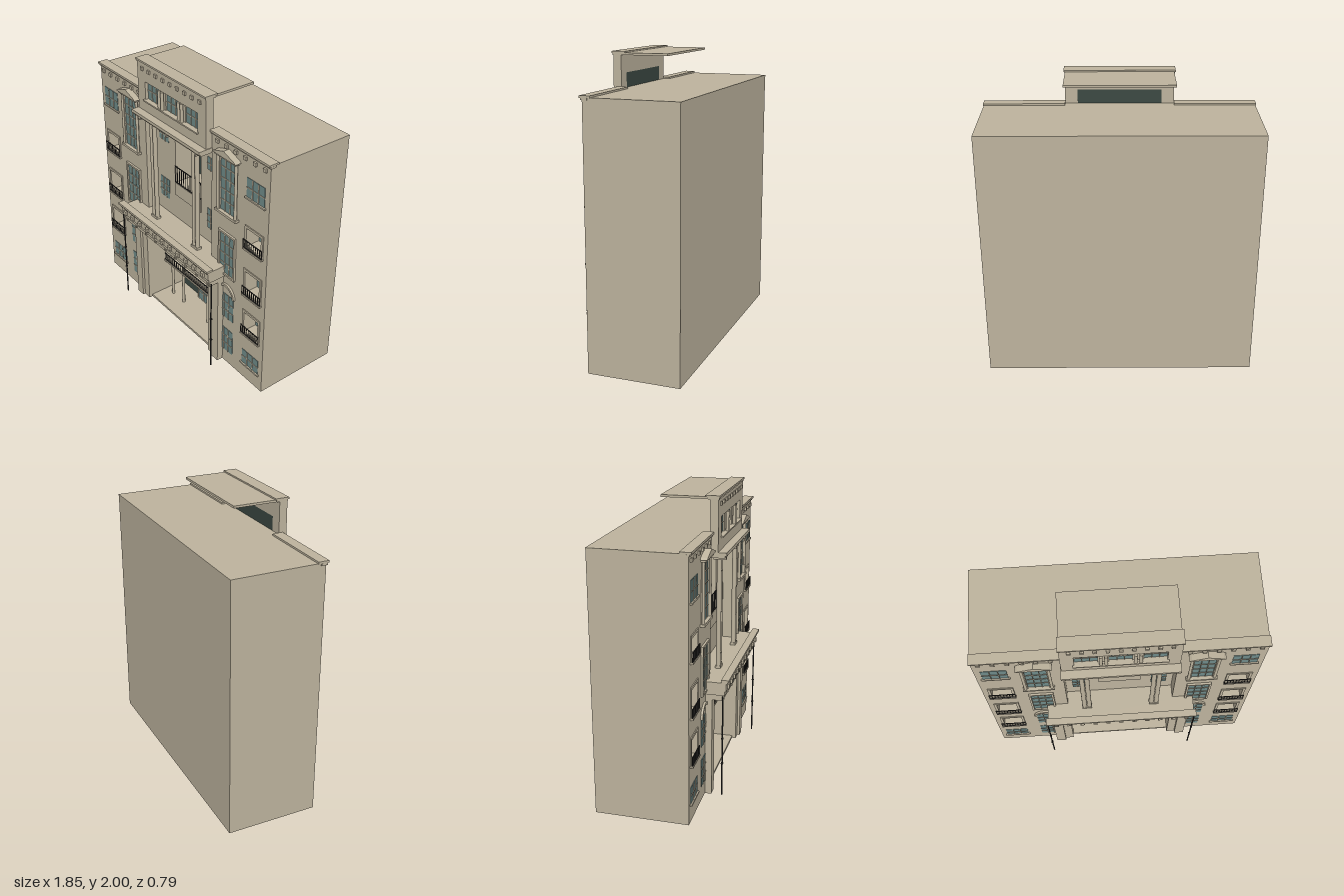
import * as THREE from 'three';

const flat = (name, color) => Object.assign(new THREE.MeshStandardMaterial({ color }), { name });

export function createModel() {
  const model = new THREE.Group();
  model.name = 'building';
  const stone = flat('stone', 0xbdb39d);
  const glass = flat('glass', 0x6f8a88);
  const dark = flat('darkGlass', 0x3b4842);
  const iron = flat('iron', 0x2c2b29);

  const add = (name, geo, mat) => {
    const m = new THREE.Mesh(geo, mat);
    m.name = name;
    model.add(m);
    return m;
  };
  // Box given by centre x, width, and y and z ranges
  const box = (name, mat, cx, w, y0, y1, z0, z1) => {
    const m = add(name, new THREE.BoxGeometry(w, y1 - y0, z1 - z0), mat);
    m.position.set(cx, (y0 + y1) / 2, (z0 + z1) / 2);
    return m;
  };
  const column = (name, x, r, y0, y1, z, mat = stone) => {
    const m = add(name, new THREE.CylinderGeometry(r, r, y1 - y0, 16), mat);
    m.position.set(x, (y0 + y1) / 2, z);
  };
  // Flat wall with rectangular holes [centre x, width, y0, y1]
  const wall = (name, cx, w, y0, y1, z0, z1, holes) => {
    const rect = (P, x, ww, a, b) => {
      const p = new P();
      p.moveTo(x - ww / 2, a);
      p.lineTo(x + ww / 2, a);
      p.lineTo(x + ww / 2, b);
      p.lineTo(x - ww / 2, b);
      p.closePath();
      return p;
    };
    const s = rect(THREE.Shape, cx, w, y0, y1);
    holes.forEach((h) => s.holes.push(rect(THREE.Path, ...h)));
    const g = new THREE.ExtrudeGeometry(s, { depth: z1 - z0, bevelEnabled: false });
    g.translate(0, 0, z0);
    add(name, g, stone);
  };
  // Glass pane with glazing bars and a dark inner face
  const pane = (cx, w, y0, y1, z, cols, rows) => {
    box('windowGlass', glass, cx, w, y0, y1, z, z + 0.003);
    box('windowBack', dark, cx, w, y0, y1, z - 0.016, z - 0.012);
    for (let i = 1; i < cols; i++)
      box('glazingBar', stone, cx - w / 2 + (w * i) / cols, 0.006, y0, y1, z + 0.003, z + 0.007);
    for (let j = 1; j < rows; j++) {
      const y = y0 + ((y1 - y0) * j) / rows;
      box('glazingBar', stone, cx, w, y - 0.003, y + 0.003, z + 0.003, z + 0.007);
    }
  };
  const frame = (cx, w, y0, y1, t, z0, z1) => {
    for (const s of [-1, 1]) box('windowFrame', stone, cx + s * (w + t) / 2, t, y0, y1, z0, z1);
    box('windowFrame', stone, cx, w + 2 * t, y1, y1 + t, z0, z1);
    box('windowFrame', stone, cx, w + 2 * t, y0 - t, y0, z0, z1);
  };
  // Four inner faces of an opening
  const reveal = (cx, w, y0, y1, z0, z1) => {
    for (const s of [-1, 1]) box('reveal', stone, cx + s * (w / 2 + 0.004), 0.008, y0, y1, z0, z1);
    box('reveal', stone, cx, w, y1, y1 + 0.008, z0, z1);
    box('reveal', stone, cx, w, y0 - 0.008, y0, z0, z1);
  };
  const railing = (cx, w, y0, y1, z, n) => {
    for (const y of [y0, y1 - 0.005]) box('rail', iron, cx, w, y, y + 0.005, z, z + 0.006);
    for (let i = 0; i <= n; i++)
      box('baluster', iron, cx - w / 2 + (w * i) / n, 0.004, y0, y1, z + 0.001, z + 0.005);
  };
  const dentils = (x0, x1, n, y, w, h, z0, z1) => {
    for (let i = 0; i < n; i++)
      box('dentil', stone, x0 + ((x1 - x0) * i) / (n - 1), w, y - h / 2, y + h / 2, z0, z1);
  };

  // Hollow main block, open underneath
  box('backWall', stone, 0, 1.84, 0, 1.75, -0.39, -0.38);
  box('roof', stone, 0, 1.84, 1.75, 1.76, -0.392, 0.235);
  for (const s of [-1, 1]) {
    box('sideWall', stone, s * 0.915, 0.01, 0, 1.75, -0.38, 0.225);

    // Wing front with recessed balcony windows
    const A = s * 0.797, B = s * 0.54;
    const niches = [[1.1, 1.235], [0.735, 0.905], [0.41, 0.57]];
    wall('wingFront', s * 0.645, 0.55, 0, 1.75, 0.225, 0.235,
      niches.map(([a, b]) => [A, 0.136, a, b]));
    for (const [a, b] of niches) {
      reveal(A, 0.136, a, b, 0.13, 0.226);
      pane(A, 0.136, a, b, 0.135, 3, 2);
      frame(A, 0.136, a, b, 0.018, 0.235, 0.242);
      box('balconySlab', stone, A, 0.18, a - 0.024, a - 0.012, 0.235, 0.255);
      railing(A, 0.176, a - 0.01, a + 0.053, 0.247, 9);
    }
    // Plain outer windows
    for (const [a, b] of [[1.46, 1.595], [0.13, 0.245]]) {
      pane(A, 0.164, a, b, 0.235, 3, 2);
      box('sill', stone, A, 0.185, a - 0.012, a, 0.235, 0.248);
    }

    // Tall window with pediment
    pane(B, 0.14, 1.25, 1.645, 0.237, 3, 5);
    frame(B, 0.14, 1.25, 1.645, 0.014, 0.235, 0.25);
    for (const t of [-1, 1]) column('windowColumn', B + t * 0.087, 0.01, 1.25, 1.645, 0.25);
    box('sill', stone, B, 0.21, 1.232, 1.25, 0.235, 0.265);
    box('pedimentBase', stone, B, 0.21, 1.645, 1.66, 0.235, 0.27);
    const tri = new THREE.Shape([[-0.115, 1.66], [0.115, 1.66], [0.1, 1.672], [0, 1.706], [-0.1, 1.672]]
      .map(([x, y]) => new THREE.Vector2(B + x, y)));
    const ped = add('pediment', new THREE.ExtrudeGeometry(tri, { depth: 0.045, bevelEnabled: false }), stone);
    ped.position.z = 0.235;
    // Lower inner windows and arch trim
    pane(B, 0.14, 0.77, 1.08, 0.237, 3, 4);
    frame(B, 0.14, 0.77, 1.08, 0.014, 0.235, 0.25);
    pane(B, 0.14, 0.395, 0.595, 0.235, 3, 3);
    pane(B, 0.14, 0.105, 0.3, 0.235, 3, 3);
    const arc = new THREE.Shape();
    arc.absarc(0, 0, 0.087, 0, Math.PI, false);
    arc.absarc(0, 0, 0.07, Math.PI, 0, true);
    const trim = add('archTrim', new THREE.ExtrudeGeometry(arc, { depth: 0.015, bevelEnabled: false, curveSegments: 20 }), stone);
    trim.position.set(B, 0.597, 0.235);

    // Wing cornice
    box('cornice', stone, s * 0.648, 0.556, 1.745, 1.758, 0.2, 0.243);
    box('cornice', stone, s * 0.6475, 0.555, 1.758, 1.772, 0.18, 0.252);
    dentils(s * 0.875, s * 0.43, 6, 1.716, 0.026, 0.024, 0.235, 0.247);

    // Entrance piers and drain poles
    box('outerPier', stone, s * 0.465, 0.07, 0, 0.7, 0.235, 0.28);
    box('innerPier', stone, s * 0.4, 0.06, 0, 0.7, 0.225, 0.262);
    column('pole', s * 0.525, 0.005, 0.02, 0.73, 0.357, iron);
    for (const y of [0.25, 0.43]) box('poleClip', iron, s * 0.525, 0.014, y, y + 0.008, 0.35, 0.364);

    // Side walls of the porch and the upper recess
    box('porchSide', stone, s * 0.375, 0.01, 0, 0.7, -0.05, 0.235);
    box('recessSide', stone, s * 0.375, 0.01, 0.7, 1.75, 0.14, 0.235);

    // Upper giant columns and recess windows
    for (const x of [0.219, 0.253]) {
      column('giantColumn', s * x, 0.016, 0.82, 1.605, 0.262);
      box('columnBase', stone, s * x, 0.034, 0.82, 0.838, 0.244, 0.28);
      box('columnCap', stone, s * x, 0.034, 1.585, 1.605, 0.244, 0.28);
    }
    pane(s * 0.272, 0.106, 0.935, 1.09, 0.15, 3, 3);
    pane(s * 0.272, 0.106, 1.39, 1.485, 0.15, 3, 2);

    // Porch columns
    for (const x of [0.285, 0.15]) column('porchColumn', s * x, 0.011, 0.02, 0.52, 0.095);
  }

  // Porch floors, railings, dark glazing and door
  box('porchFloor', stone, 0, 0.74, 0, 0.018, -0.05, 0.235);
  box('porchGlazing', dark, 0, 0.74, 0.01, 0.7, -0.056, -0.05);
  for (const y of [0.29, 0.515]) {
    box('gallery', stone, 0, 0.74, y, y + 0.014, -0.05, 0.115);
    railing(0, 0.73, y + 0.014, y + 0.072, 0.106, 30);
  }
  pane(0, 0.245, 0.02, 0.22, -0.03, 4, 3);
  frame(0, 0.245, 0.02, 0.22, 0.008, -0.045, -0.025);

  // Entablature over the entrance, with terrace and parapet
  box('terrace', stone, 0, 0.74, 0.7, 0.82, -0.05, 0.235);
  box('architrave', stone, 0, 1.0, 0.69, 0.73, 0.235, 0.35);
  box('frieze', stone, 0, 1.02, 0.73, 0.76, 0.235, 0.365);
  box('frieze', stone, 0, 1.03, 0.76, 0.82, 0.235, 0.375);
  box('parapet', stone, 0, 1.04, 0.815, 0.83, 0.345, 0.385);
  box('parapetCap', stone, 0, 1.055, 0.83, 0.846, 0.345, 0.395);
  dentils(-0.46, 0.46, 11, 0.783, 0.03, 0.03, 0.375, 0.388);
  dentils(-0.48, 0.48, 9, 0.712, 0.012, 0.03, 0.35, 0.358);

  // Upper recess wall with deep central opening and balcony
  wall('recessWall', 0, 0.74, 0.82, 1.75, 0.138, 0.148, [[0, 0.29, 1.11, 1.535]]);
  reveal(0, 0.29, 1.11, 1.535, -0.06, 0.139);
  box('openingGlazing', dark, 0, 0.29, 1.11, 1.535, -0.062, -0.056);
  box('apron', stone, 0, 0.29, 1.01, 1.11, 0.148, 0.154);
  railing(0, 0.29, 1.115, 1.245, 0.15, 12);

  // Tower ledge and brackets
  box('ledge', stone, 0, 0.74, 1.605, 1.62, 0.14, 0.325);
  box('ledge', stone, 0, 0.75, 1.62, 1.642, 0.2, 0.337);
  for (const x of [-0.31, 0, 0.31]) box('bracket', stone, x, 0.018, 1.583, 1.605, 0.235, 0.322);

  // Tower front with window band
  wall('towerFront', 0, 0.74, 1.64, 1.98, 0.225, 0.28, [[0, 0.57, 1.73, 1.857]]);
  for (const x of [-0.213, 0, 0.213]) pane(x, 0.144, 1.73, 1.857, 0.255, 3, 2);
  for (const s of [-1, 1]) {
    box('mullion', stone, s * 0.1065, 0.07, 1.73, 1.857, 0.245, 0.268);
    for (const x of [0.09, 0.122]) column('towerColumn', s * x, 0.011, 1.73, 1.857, 0.283);
  }
  box('towerBack', dark, 0, 0.57, 1.73, 1.857, 0.226, 0.232);
  box('towerSill', stone, 0, 0.59, 1.72, 1.73, 0.28, 0.296);
  dentils(-0.31, 0.31, 9, 1.943, 0.024, 0.024, 0.28, 0.291);
  box('towerCornice', stone, 0, 0.74, 1.975, 1.988, 0.205, 0.284);
  box('towerCornice', stone, 0, 0.75, 1.988, 2.0, 0.195, 0.29);
  box('towerCanopy', stone, 0, 0.73, 1.975, 1.99, -0.095, 0.21);

  return model;
}
